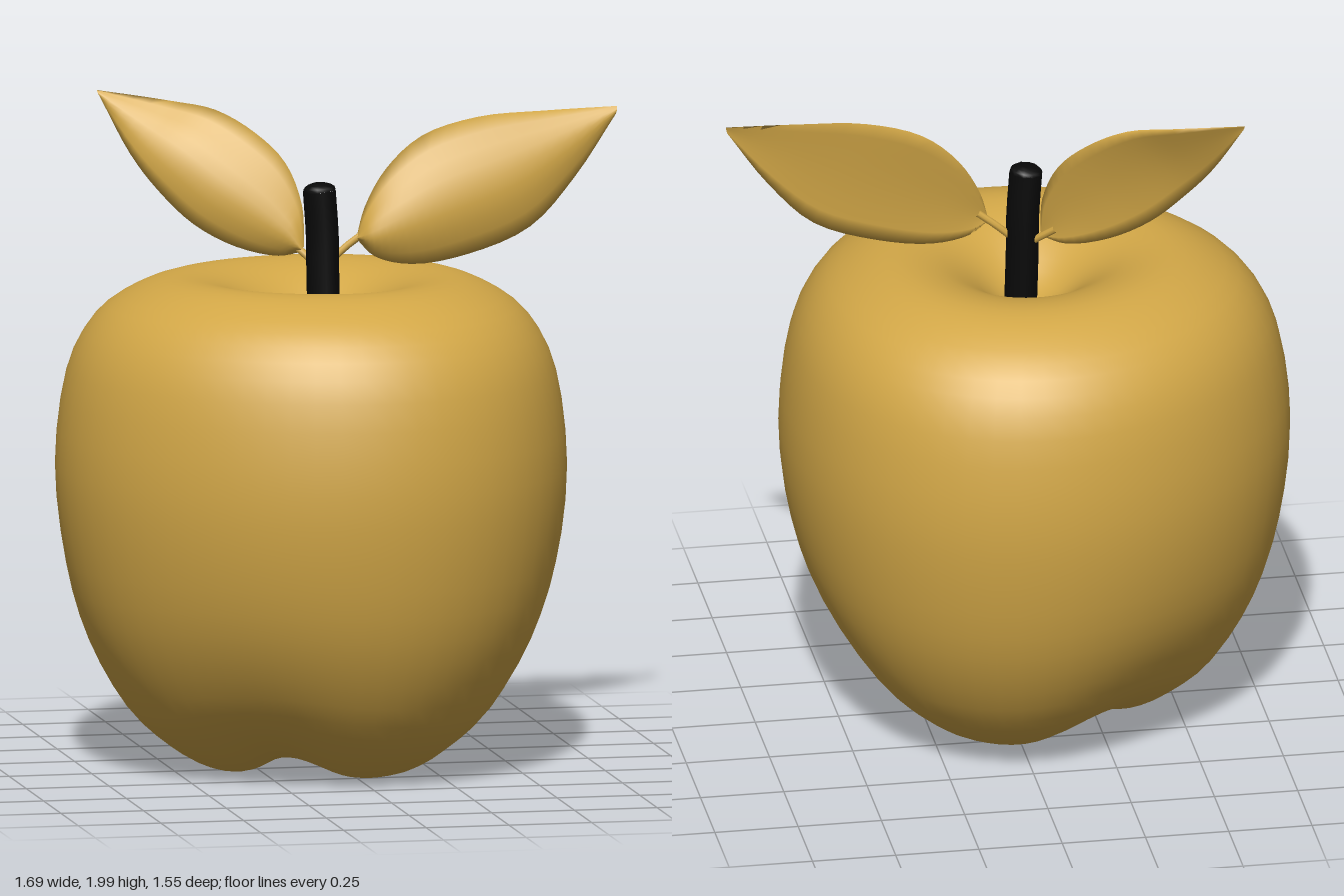
import * as THREE from 'three';
import { mergeVertices } from 'three/addons/utils/BufferGeometryUtils.js';

const gold = new THREE.MeshStandardMaterial({ color: 0xd2a747 });
gold.name = 'gold';
const black = new THREE.MeshStandardMaterial({ color: 0x080808 });
black.name = 'black';

const vec = (p) => new THREE.Vector3(...p);
const spline = (pts) => new THREE.CatmullRomCurve3(pts.map(vec));

function mesh(name, geometry, material) {
  const m = new THREE.Mesh(geometry, material);
  m.name = name;
  return m;
}

// Weld seams so that the normals run smoothly all round
function smooth(geometry) {
  geometry.deleteAttribute('uv');
  geometry.deleteAttribute('normal');
  const welded = mergeVertices(geometry, 1e-4);
  welded.computeVertexNormals();
  return welded;
}

// Body: turned profile, slightly three-sided, with three broad lobes underneath
function appleBody() {
  const profile = new THREE.SplineCurve([
    [0, 0.13], [0.06, 0.115], [0.13, 0.06], [0.22, 0.012], [0.32, 0.022], [0.43, 0.085],
    [0.55, 0.2], [0.66, 0.4], [0.726, 0.63], [0.757, 0.92], [0.724, 1.2], [0.645, 1.36],
    [0.53, 1.445], [0.41, 1.48], [0.29, 1.462], [0.19, 1.41], [0.09, 1.335], [0, 1.3],
  ].map(([r, y]) => new THREE.Vector2(r, y))).getPoints(51);
  profile.forEach((p) => { p.x = Math.max(0, p.x); });

  const geo = new THREE.LatheGeometry(profile, 60);
  const pos = geo.attributes.position;
  for (let i = 0; i < pos.count; i++) {
    const x = pos.getX(i), y = pos.getY(i), z = pos.getZ(i);
    const wave = Math.cos(3 * Math.atan2(z, x));
    const groove = ((1 + wave) / 2) ** 1.6;
    const low = Math.max(0, 1 - y / 0.8) ** 1.5 * Math.min(1, Math.hypot(x, z) / 0.2);
    const k = 1 - 0.023 * wave - 0.05 * groove * low;
    pos.setXYZ(i, x * k, y + 0.065 * groove * low, z * k * 1.02);
  }
  const body = mesh('appleBody', smooth(geo), gold);
  body.position.x = -0.073;
  return body;
}

// Leaf: closed lens section swept between an upper and a lower edge
function leafBlade(upper, lower, normal, bow, thickness) {
  const top = spline(upper), bottom = spline(lower), n = vec(normal).normalize();
  const towardsLeft = upper.at(-1)[0] > upper[0][0];
  const rows = 24, half = 8, ring = half * 2;
  const verts = [], index = [];
  for (let i = 0; i <= rows; i++) {
    const t = i / rows;
    const a = top.getPoint(t), b = bottom.getPoint(t);
    const fade = Math.sin(Math.PI * (t * 0.9 + 0.08)) ** 0.8;
    for (let j = 0; j < ring; j++) {
      const front = j <= half;
      const s = front ? j / half : (ring - j) / half;
      const arch = Math.sin(Math.PI * s ** 1.2);
      const p = a.clone().lerp(b, s)
        .addScaledVector(n, arch * fade * (bow + (front ? thickness : -thickness)));
      verts.push(p.x, p.y, p.z);
    }
  }
  for (let i = 0; i < rows; i++) {
    for (let j = 0; j < ring; j++) {
      const a = i * ring + j, b = i * ring + (j + 1) % ring;
      // Faces point outward whichever way the leaf runs
      const [p, q] = towardsLeft ? [a, b] : [b, a];
      index.push(p, q, p + ring, q, q + ring, p + ring);
    }
  }
  const geo = new THREE.BufferGeometry();
  geo.setAttribute('position', new THREE.Float32BufferAttribute(verts, 3));
  geo.setIndex(index);
  geo.computeVertexNormals();
  return geo;
}

function leaf(name, stalk, ...blade) {
  const group = new THREE.Group();
  group.name = name;
  group.add(mesh('leafBlade', leafBlade(...blade), gold));
  group.add(mesh('leafStalk', new THREE.TubeGeometry(spline(stalk), 6, 0.011, 8), gold));
  return group;
}

// Stem: slightly curved tube with a tilted, rounded cap
function stem() {
  const group = new THREE.Group();
  group.name = 'stem';
  const path = spline([[-0.045, 1.25, 0], [-0.052, 1.48, 0.002], [-0.054, 1.6, 0.004], [-0.064, 1.735, 0.008]]);
  group.add(mesh('stemShaft', new THREE.TubeGeometry(path, 10, 0.049, 10), black));
  const cap = mesh('stemCap', new THREE.SphereGeometry(0.05, 10, 4, 0, Math.PI * 2, 0, Math.PI / 2), black);
  cap.scale.y = 0.5;
  cap.position.set(-0.064, 1.734, 0.008);
  cap.rotation.z = 0.08;
  group.add(cap);
  return group;
}

export function createModel() {
  const model = new THREE.Group();
  model.name = 'apple';
  model.add(appleBody(), stem());

  model.add(leaf('leftLeaf',
    [[-0.03, 1.52, 0], [0.02, 1.565, 0.002], [0.08, 1.61, 0.01]],
    [[0.05, 1.595, 0.005], [0.075, 1.68, 0.0], [0.14, 1.79, -0.008], [0.25, 1.885, -0.015],
      [0.42, 1.937, -0.013], [0.62, 1.95, -0.01], [0.84, 1.957, -0.01]],
    [[0.05, 1.585, 0.005], [0.1, 1.535, 0.025], [0.21, 1.51, 0.035], [0.38, 1.535, 0.035],
      [0.57, 1.61, 0.025], [0.71, 1.755, 0.01], [0.835, 1.935, -0.003]],
    [0, 0.1, 1], 0.034, 0.024));

  model.add(leaf('rightLeaf',
    [[-0.07, 1.51, -0.01], [-0.1, 1.54, -0.035], [-0.14, 1.575, -0.065]],
    [[-0.1, 1.56, -0.04], [-0.1, 1.68, -0.07], [-0.14, 1.8, -0.115], [-0.22, 1.885, -0.165],
      [-0.33, 1.95, -0.225], [-0.45, 1.972, -0.278], [-0.66, 2.0, -0.355]],
    [[-0.105, 1.545, -0.045], [-0.17, 1.53, -0.075], [-0.29, 1.555, -0.115], [-0.41, 1.62, -0.155],
      [-0.51, 1.72, -0.2], [-0.58, 1.82, -0.255], [-0.655, 1.985, -0.35]],
    [-0.45, 0.15, 0.85], 0.03, 0.022));

  return model;
}
